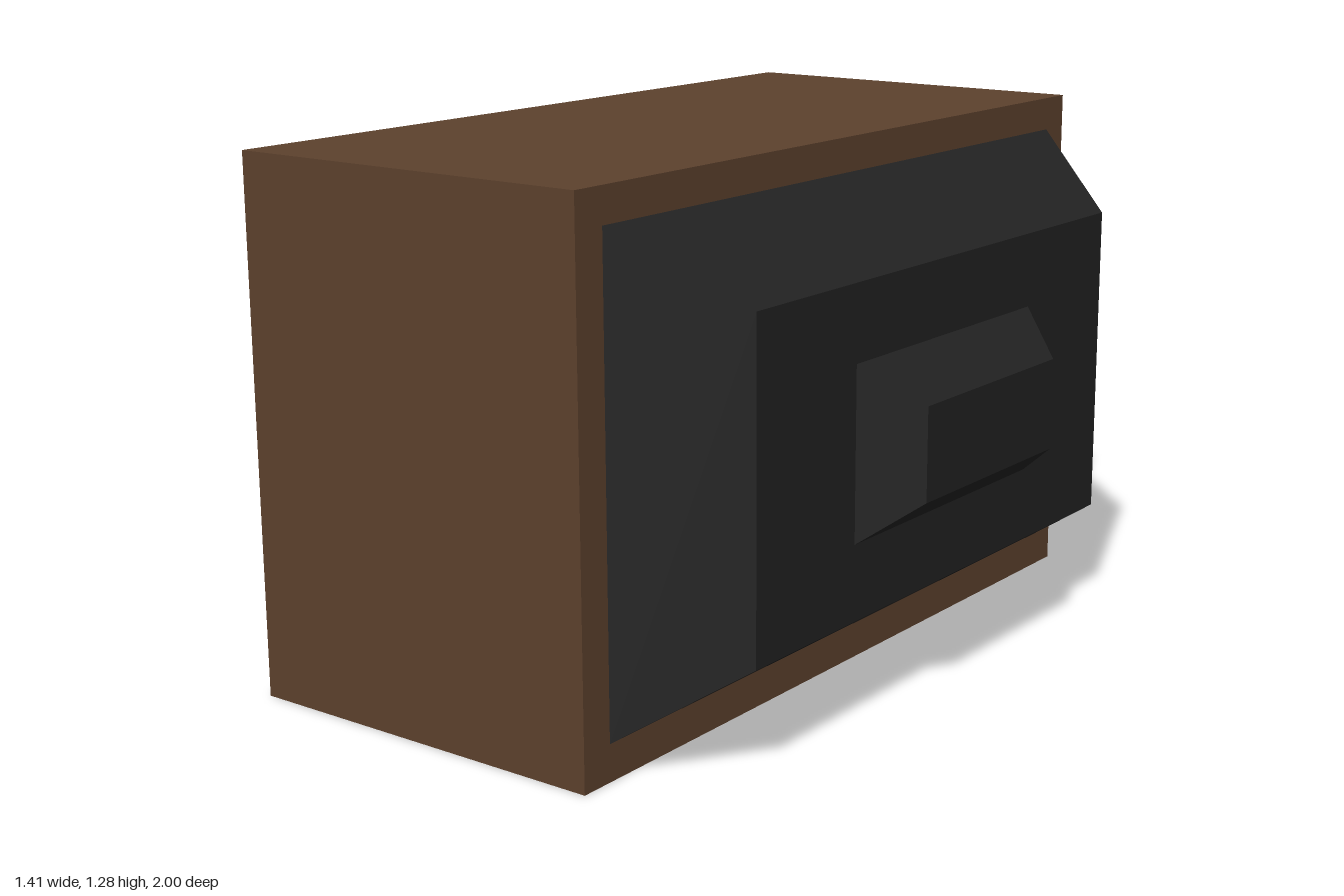
import * as THREE from 'three';

const mat = (name, color) => Object.assign(new THREE.MeshStandardMaterial({ color }), { name });

export function createModel() {
  const wood = mat('brown wood', 0x5c412d);
  const black = mat('black plastic', 0x222222);
  const dark = mat('dark recess', 0x181818);
  const glass = mat('grey glass', 0x484848);
  const metal = mat('grey metal', 0x6a6a6a);

  const model = new THREE.Group();
  model.name = 'television';
  // Built with the screen towards local +z, then turned to face -x
  const set = new THREE.Group();
  set.name = 'televisionSet';
  set.rotation.y = -Math.PI / 2;
  model.add(set);

  const add = (name, geometry, material, x = 0, y = 0, z = 0) => {
    const mesh = new THREE.Mesh(geometry, material);
    mesh.name = name;
    mesh.position.set(x, y, z);
    set.add(mesh);
    return mesh;
  };
  // Box given by its limits on each axis
  const block = (name, material, x0, x1, y0, y1, z0, z1) =>
    add(name, new THREE.BoxGeometry(x1 - x0, y1 - y0, z1 - z0), material,
      (x0 + x1) / 2, (y0 + y1) / 2, (z0 + z1) / 2);
  // Rectangular ring, w and h are half sizes
  const frame = (name, material, w, h, iw, ih, z0, z1, y) => {
    const rect = (P, a, b) => {
      const p = new P();
      p.moveTo(-a, -b);
      p.lineTo(a, -b);
      p.lineTo(a, b);
      p.lineTo(-a, b);
      p.closePath();
      return p;
    };
    const shape = rect(THREE.Shape, w, h);
    shape.holes.push(rect(THREE.Path, iw, ih));
    return add(name, new THREE.ExtrudeGeometry(shape, { depth: z1 - z0, bevelEnabled: false }), material, 0, y, z0);
  };
  // Box tapering towards the back
  const taper = (name, w, h, w2, h2, z0, z1, y) => {
    const g = new THREE.BoxGeometry(2 * w, 2 * h, z0 - z1);
    const p = g.attributes.position;
    for (let i = 0; i < p.count; i++) {
      if (p.getZ(i) < 0) p.setXY(i, Math.sign(p.getX(i)) * w2, Math.sign(p.getY(i)) * h2);
    }
    g.computeVertexNormals();
    add(name, g, black, 0, y, (z0 + z1) / 2);
  };
  // Round part pointing forwards
  const round = (name, material, r0, r1, z0, z1, x, y, sides = 24) => {
    const g = new THREE.CylinderGeometry(r1, r0, z1 - z0, sides);
    g.rotateX(Math.PI / 2);
    return add(name, g, material, x, y, (z0 + z1) / 2);
  };

  // Cabinet with a shallow recess at the front
  block('cabinetBody', wood, -1, 1, 0, 1.285, -0.32, 0.62);
  frame('cabinetRim', wood, 1, 0.6425, 0.95, 0.595, 0.62, 0.64, 0.6425);
  frame('bezel', black, 0.965, 0.6125, 0.937, 0.582, 0.62, 0.655, 0.6475);
  frame('bezelStep', black, 0.94, 0.585, 0.925, 0.57, 0.62, 0.635, 0.6475);

  // Rear housing
  taper('backHousing', 0.915, 0.5575, 0.745, 0.385, -0.32, -0.58, 0.645);
  taper('tubeCap', 0.375, 0.205, 0.28, 0.11, -0.58, -0.705, 0.645);

  // Screen surround and bulging glass
  block('screenSurround', black, -0.92, 0.375, 0.115, 1.2, 0.62, 0.626);
  const dome = new THREE.RingGeometry(0.001, 1, 80, 14);
  const p = dome.attributes.position;
  const squash = (v) => Math.sign(v) * Math.abs(v) ** (2 / 3.6);
  for (let i = 0; i < p.count; i++) {
    const x = p.getX(i), y = p.getY(i), r = Math.hypot(x, y);
    p.setXYZ(i, 0.605 * r * squash(x / r), 0.525 * r * squash(y / r), 0.078 * (1 - r * r));
  }
  dome.computeVertexNormals();
  add('screenGlass', dome, glass, -0.265, 0.65, 0.627);

  // Control column
  block('divider', wood, 0.375, 0.41, 0.09, 1.215, 0.62, 0.638);
  block('dialPlate', black, 0.45, 0.885, 0.73, 1.2, 0.62, 0.628);

  // Large channel knob with fluted skirt
  round('channelKnobSkirt', metal, 0.092, 0.072, 0.628, 0.672, 0.66, 0.955, 28).geometry.computeVertexNormals();
  for (let i = 0; i < 20; i++) {
    const a = (i / 20) * Math.PI * 2;
    round('channelKnobFlute', metal, 0.008, 0.006, 0.628, 0.674,
      0.66 + 0.077 * Math.cos(a), 0.955 + 0.077 * Math.sin(a), 6);
  }
  round('channelKnobFace', black, 0.056, 0.056, 0.672, 0.676, 0.66, 0.955);
  const grip = block('channelKnobGrip', metal, 0.648, 0.672, 0.9, 1.01, 0.672, 0.686);
  grip.rotation.z = -0.6;

  // Three small knobs
  for (const x of [0.51, 0.66, 0.81]) {
    round('smallKnobCollar', black, 0.03, 0.026, 0.62, 0.635, x, 0.63);
    round('smallKnobStem', metal, 0.017, 0.017, 0.635, 0.655, x, 0.63);
    round('smallKnobCap', black, 0.02, 0.018, 0.655, 0.676, x, 0.63);
  }

  // Speaker grille with horizontal slats
  block('grillePanel', dark, 0.425, 0.9, 0.1, 0.545, 0.62, 0.625);
  const slats = 22;
  for (let i = 0; i < slats; i++) {
    const y = 0.1 + (i + 0.25) * (0.445 / slats);
    block('grilleSlat', black, 0.43, 0.895, y, y + 0.011, 0.625, 0.634);
  }
  return model;
}
